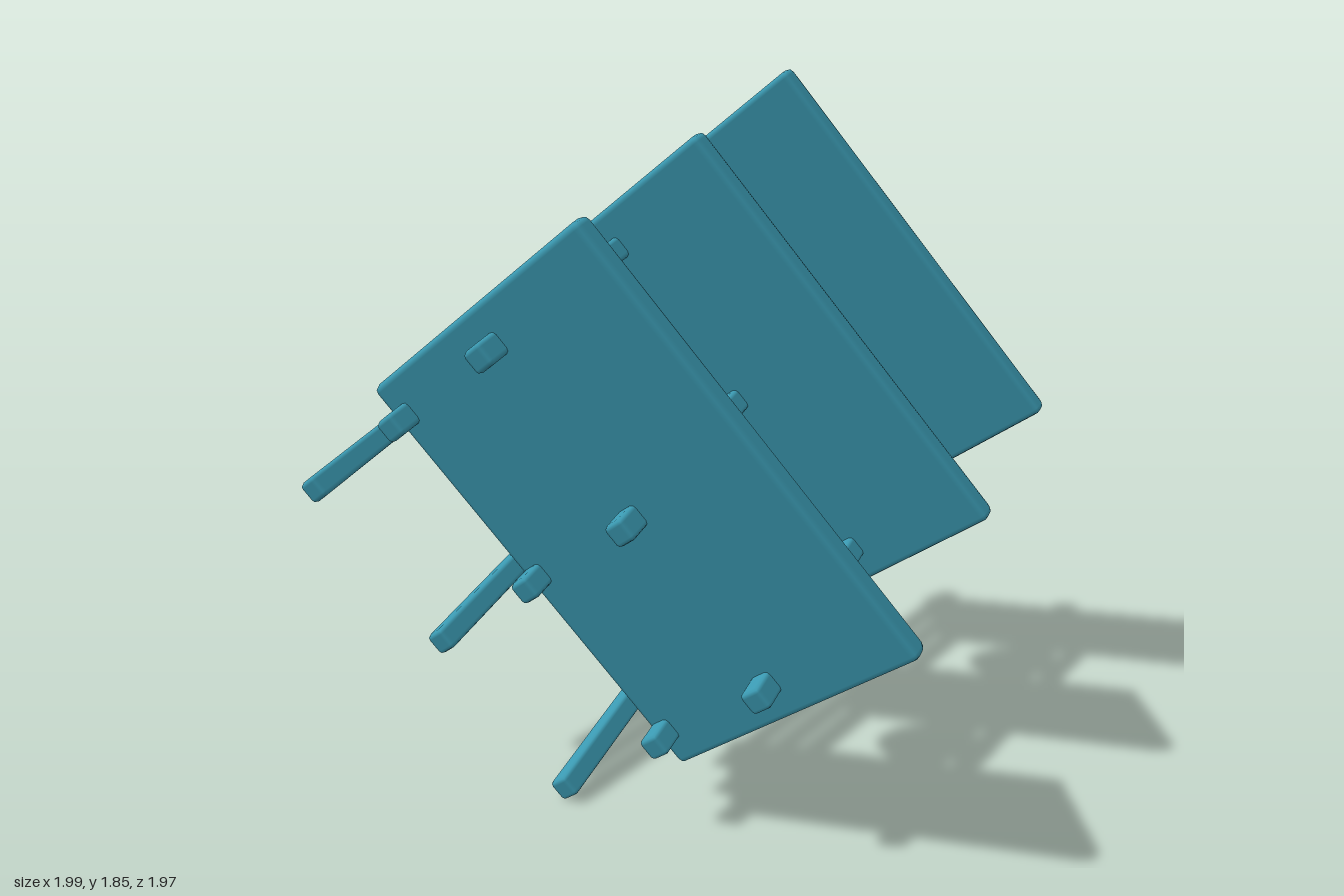
import * as THREE from 'three';
import { RoundedBoxGeometry } from 'three/addons/geometries/RoundedBoxGeometry.js';

export function createModel() {
  const teal = new THREE.MeshStandardMaterial({ color: 0x3b9ab2 });
  teal.name = 'teal';
  const sand = new THREE.MeshStandardMaterial({ color: 0xc2b797 });
  sand.name = 'sand';

  const model = new THREE.Group();
  model.name = 'latticeModel';

  // Tilted frame: local x runs along the rods, y down the plates' length, z across them
  const lattice = new THREE.Group();
  lattice.name = 'lattice';
  const along = new THREE.Vector3(0.797, 0.256, -0.548).normalize();
  const across = along.clone().cross(new THREE.Vector3(0.494, -0.787, 0.368)).normalize();
  const down = across.clone().cross(along);
  lattice.quaternion.setFromRotationMatrix(new THREE.Matrix4().makeBasis(along, down, across));
  lattice.position.set(0.075, 1.017, 0.14);
  model.add(lattice);

  const add = (name, geometry, material, x, y, z) => {
    const mesh = new THREE.Mesh(geometry, material);
    mesh.name = name;
    mesh.position.set(x, y, z);
    lattice.add(mesh);
    return mesh;
  };

  // Three parallel plates
  const plate = new RoundedBoxGeometry(0.06, 1.2, 0.78, 1, 0.017);
  for (const x of [-0.6, 0, 0.6]) add('plate', plate, teal, x, 0, 0);

  // Three by three grid of rods; the last column lies clear of the plates
  const rod = new RoundedBoxGeometry(1.4, 0.06, 0.06, 1, 0.012);
  for (const y of [-0.5, 0, 0.5]) {
    for (const z of [0, 0.355, 0.71]) add('rod', rod, teal, 0, y, z);
  }

  // Oval beads on the central rod, one in each bay
  const bead = new THREE.SphereGeometry(1, 12, 8).scale(0.115, 0.135, 0.117);
  for (const x of [-0.3, 0.3]) add('bead', bead, sand, x, 0, 0.055);

  return model;
}
